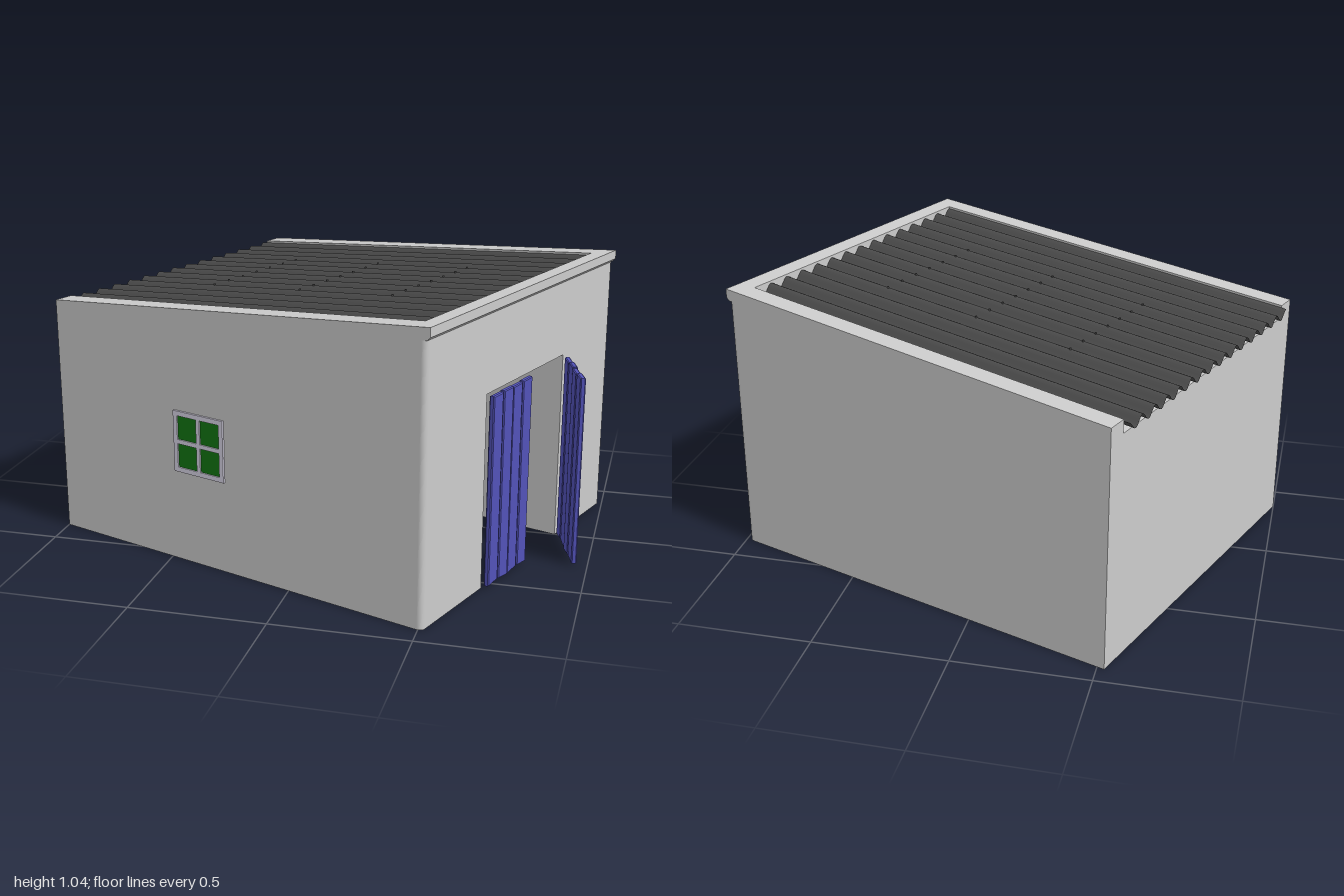
import * as THREE from 'three';

const mat = (color, extra = {}) => new THREE.MeshStandardMaterial({ color, ...extra });
const U0 = -0.812, U1 = 0.8, LIP = 0.812, V = 0.692;   // plan extents
const DOOR_H = 0.72, DOOR_W = 0.29;
const topY = u => 0.905 + 0.14 * (u - U0) / (LIP - U0); // sloping parapet line

function add(parent, name, geometry, material) {
  const mesh = new THREE.Mesh(geometry, material);
  mesh.name = name;
  parent.add(mesh);
  return mesh;
}

// Upright prism over a plan outline; bottom and top heights follow a rule along x
function prism(shape, bottom, top) {
  const g = new THREE.ExtrudeGeometry(shape, { depth: 1, bevelEnabled: false, curveSegments: 5 });
  g.rotateX(-Math.PI / 2);
  const p = g.attributes.position;
  for (let i = 0; i < p.count; i++) p.setY(i, (p.getY(i) > 0.5 ? top : bottom)(p.getX(i)));
  g.computeVertexNormals();
  return g;
}

// Plan outline: rounded corners on the door side, optional extra points closing it
function plan(notch) {
  const r = 0.02, s = new THREE.Shape();
  s.moveTo(U0, -V);
  s.lineTo(U1 - r, -V);
  s.absarc(U1 - r, -V + r, r, -Math.PI / 2, 0, false);
  if (notch) for (const [x, y] of [[U1, -DOOR_W], [0.28, -DOOR_W], [0.28, DOOR_W], [U1, DOOR_W]]) s.lineTo(x, y);
  s.absarc(U1 - r, V - r, r, 0, Math.PI / 2, false);
  s.lineTo(U0, V);
  return s;
}

// Door leaf of four uneven planks, running from the hinge toward side * z
function doorLeaf(name, side, material) {
  const leaf = new THREE.Group();
  leaf.name = name;
  const w = 0.07, jag = [0.0, 0.006, -0.003, 0.004, -0.002];
  for (let i = 0; i < 4; i++) {
    const a = -side * (i * w + 0.002), b = -side * ((i + 1) * w - 0.002);
    const s = new THREE.Shape([
      new THREE.Vector2(a, 0.009 + jag[i]), new THREE.Vector2(b, 0.009 + jag[i + 1]),
      new THREE.Vector2(b, 0.714 + jag[4 - i] * 0.5), new THREE.Vector2(a, 0.714 + jag[i] * 0.5)]);
    const g = new THREE.ExtrudeGeometry(s, {
      depth: 0.012, bevelEnabled: true, bevelThickness: 0.004, bevelSize: 0.003, bevelOffset: -0.003, bevelSegments: 1 });
    g.rotateY(Math.PI / 2);
    add(leaf, 'doorPlank', g, material).position.x = i % 2 ? 0.006 : 0.004;
  }
  return leaf;
}

export function createModel() {
  const model = new THREE.Group();
  const shed = new THREE.Group();
  shed.name = 'shed';
  shed.rotation.y = -THREE.MathUtils.degToRad(20);
  model.add(shed);

  const wall = mat(0xcccccc), roofMat = mat(0x4a4a4a, { side: THREE.DoubleSide });
  const steel = mat(0x4a4a4a), doorMat = mat(0x5252b8), frameMat = mat(0xd9d5e6), paneMat = mat(0x127512);

  // Walls: lower part with the doorway recess, upper part closing it above
  add(shed, 'lowerWalls', prism(plan(true), () => 0, () => DOOR_H), wall);
  add(shed, 'upperWalls', prism(plan(false), () => DOOR_H, u => topY(u) - 0.05), wall);

  // Parapet on three sides, open at the low end
  const parapet = plan(false);
  for (const [x, y] of [[U0, 0.612], [0.745, 0.612], [0.745, -0.612], [U0, -0.612]]) parapet.lineTo(x, y);
  add(shed, 'parapet', prism(parapet, u => topY(u) - 0.05, topY), wall);

  // Drip lip along the top of the door wall
  const lip = new THREE.Shape([[0.78, 1.0], [U1, 1.0], [LIP, 1.012], [LIP, topY(LIP)], [0.78, topY(0.78)]]
    .map(([x, y]) => new THREE.Vector2(x, y)));
  const lipGeo = new THREE.ExtrudeGeometry(lip, { depth: 2 * V, bevelEnabled: false });
  add(shed, 'parapetLip', lipGeo.translate(0, 0, -V), wall);

  // Corrugated roof sheet
  const waves = 14, halfW = 0.611, r0 = -0.832, r1 = 0.745;
  const wave = v => 0.017 * Math.cos((v / halfW) * Math.PI * waves);
  const sheet = new THREE.PlaneGeometry(r1 - r0, 2 * halfW, 1, waves * 12);
  sheet.rotateX(-Math.PI / 2).translate((r0 + r1) / 2, 0, 0);
  const p = sheet.attributes.position;
  for (let i = 0; i < p.count; i++) p.setY(i, topY(p.getX(i)) - 0.025 + wave(p.getZ(i)));
  sheet.computeVertexNormals();
  add(shed, 'corrugatedRoof', sheet, roofMat);

  // Roof screws on every other crest
  const screwGeo = new THREE.CylinderGeometry(0.004, 0.005, 0.006, 6);
  for (const u of [-0.4, 0, 0.4])
    for (let k = -6; k <= 6; k += 2)
      add(shed, 'roofScrew', screwGeo, steel).position.set(u, topY(u) - 0.006, k * halfW / waves);

  // Double door: one leaf closed, one ajar
  const closed = doorLeaf('closedDoorLeaf', -1, doorMat);
  closed.position.set(0.806, 0, 0.285);
  const open = doorLeaf('openDoorLeaf', 1, doorMat);
  open.position.set(0.81, 0, -0.285);
  open.rotation.y = THREE.MathUtils.degToRad(37);
  shed.add(closed, open);

  // Window with four panes
  const win = new THREE.Group();
  win.name = 'window';
  win.position.set(-0.137, 0.463, V);
  shed.add(win);
  const W = 0.113, H = 0.116, bar = 0.018, mid = 0.008;
  const rect = (x0, y0, x1, y1, C) => new C([[x0, y0], [x1, y0], [x1, y1], [x0, y1]].map(a => new THREE.Vector2(...a)));
  const frame = rect(-W, -H, W, H, THREE.Shape);
  for (const sx of [-1, 1])
    for (const sy of [-1, 1]) {
      frame.holes.push(rect(sx * mid, sy * mid, sx * (W - bar), sy * (H - bar), THREE.Path));
      add(win, 'windowPane', new THREE.BoxGeometry(W - bar - mid, H - bar - mid, 0.004), paneMat)
        .position.set(sx * (W - bar + mid) / 2, sy * (H - bar + mid) / 2, 0.001);
    }
  add(win, 'windowFrame', new THREE.ExtrudeGeometry(frame, { depth: 0.008, bevelEnabled: false }), frameMat);

  return model;
}
